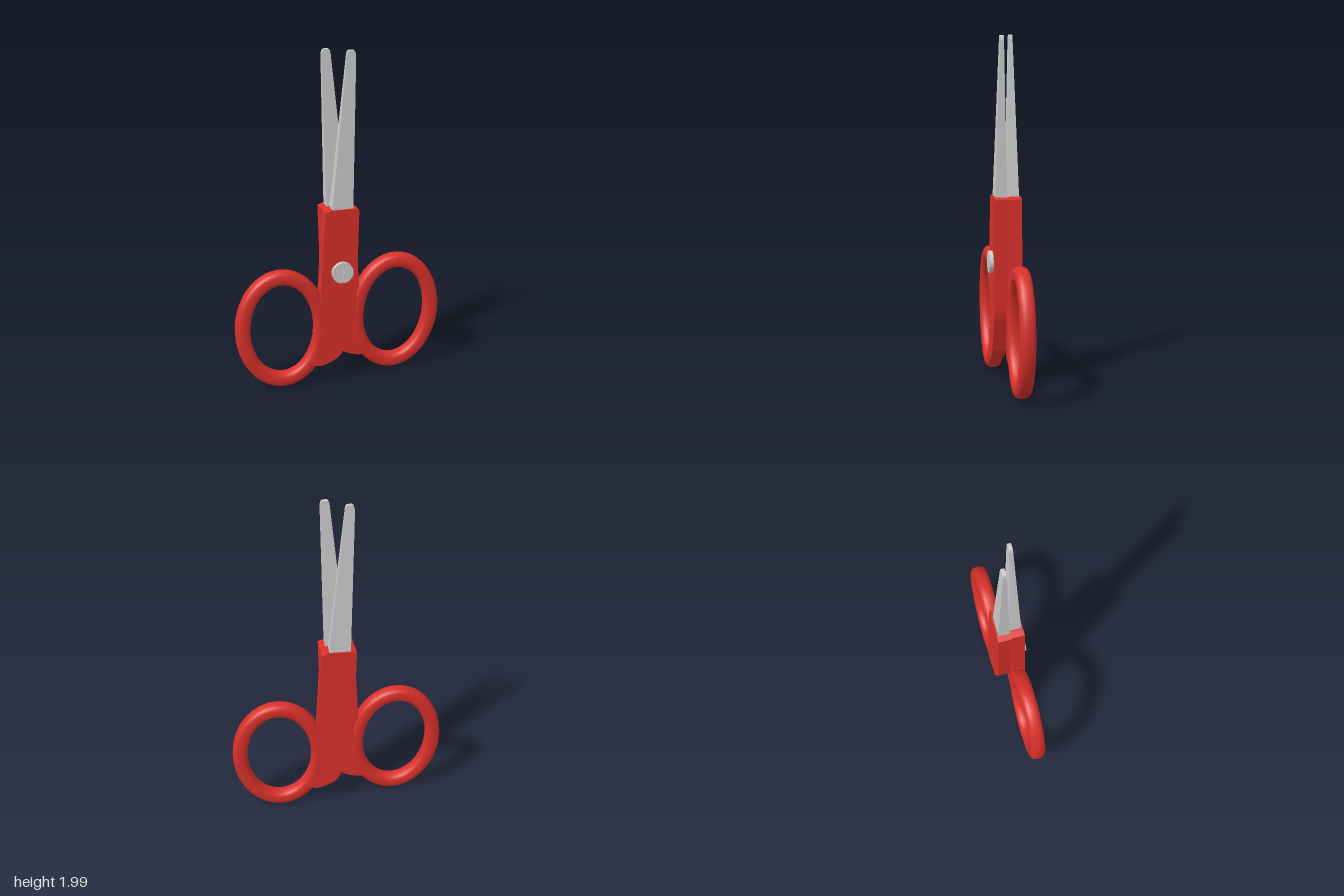
import * as THREE from 'three';
import { mergeVertices } from 'three/addons/utils/BufferGeometryUtils.js';

const red = new THREE.MeshStandardMaterial({ color: 0xd9302a });
const grey = new THREE.MeshStandardMaterial({ color: 0xcccccc });

function part(name, geometry, material) {
  const mesh = new THREE.Mesh(geometry, material);
  mesh.name = name;
  return mesh;
}

// Blade: flat outline with a rounded tip, thinning and drifting outward with height
function bladeGeometry() {
  const s = new THREE.Shape();
  s.moveTo(-0.058, 1.05);
  s.lineTo(0.068, 1.05);
  s.lineTo(0.088, 1.96);
  s.quadraticCurveTo(0.088, 2, 0.07, 2);
  s.lineTo(0.05, 2);
  s.quadraticCurveTo(0.036, 2, 0.034, 1.95);
  const g = new THREE.ExtrudeGeometry(s, { depth: 1, bevelEnabled: false, curveSegments: 5 });
  const p = g.attributes.position;
  for (let i = 0; i < p.count; i++) {
    const t = (p.getY(i) - 1.05) / 0.95;
    const inner = THREE.MathUtils.lerp(-0.011, 0.012, t);
    const outer = THREE.MathUtils.lerp(0.058, 0.032, t);
    p.setZ(i, THREE.MathUtils.lerp(inner, outer, p.getZ(i)));
  }
  g.computeVertexNormals();
  return g;
}

// Shank: flat plate that grips the blade and runs into the finger ring
function shankGeometry() {
  const s = new THREE.Shape();
  s.moveTo(0.063, 1.096);
  s.lineTo(-0.06, 1.096);
  s.lineTo(-0.097, 1.084);
  s.lineTo(-0.123, 0.62);
  s.lineTo(-0.13, 0.54);
  s.lineTo(-0.12, 0.38);
  s.lineTo(-0.155, 0.2);
  s.lineTo(-0.19, 0.135);
  s.lineTo(-0.13, 0.125);
  s.quadraticCurveTo(-0.03, 0.145, 0, 0.195);
  s.lineTo(0.065, 0.37);
  s.quadraticCurveTo(0.082, 0.41, 0.085, 0.46);
  s.lineTo(0.102, 1.084);
  const g = new THREE.ExtrudeGeometry(s, { depth: 0.078, bevelEnabled: false, curveSegments: 6 });
  return g.translate(0, 0, -0.012);
}

// Finger ring: torus reshaped to an ellipse with a rounded-square section
function ringGeometry() {
  const g = new THREE.TorusGeometry(1, 0.2, 16, 48);
  const p = g.attributes.position, uv = g.attributes.uv;
  const soft = (c) => Math.sign(c) * Math.pow(Math.abs(c), 0.75);
  for (let i = 0; i < p.count; i++) {
    const u = uv.getX(i) * Math.PI * 2, v = uv.getY(i) * Math.PI * 2;
    const out = 0.044 * soft(Math.cos(v));
    p.setXYZ(i, (0.232 + out) * Math.cos(u), (0.325 + out) * Math.sin(u), 0.044 * soft(Math.sin(v)));
  }
  g.deleteAttribute('uv');
  g.deleteAttribute('normal');
  const ring = mergeVertices(g, 1e-5);
  ring.computeVertexNormals();
  return ring.rotateZ(0.045).translate(-0.348, 0.38, 0.021);
}

function half(name) {
  const group = new THREE.Group();
  group.name = name;
  group.add(
    part('blade', bladeGeometry(), grey),
    part('shank', shankGeometry(), red),
    part('fingerRing', ringGeometry(), red)
  );
  return group;
}

// Pivot screw: a disc with a slotted head made of two half discs
function screw() {
  const group = new THREE.Group();
  group.name = 'pivotScrew';
  const base = new THREE.CylinderGeometry(0.063, 0.063, 0.03, 32).rotateX(Math.PI / 2);
  group.add(part('screwBase', base.translate(0, 0, 0.062), grey));
  const a = Math.acos(0.005 / 0.063);
  const s = new THREE.Shape().absarc(0, 0, 0.063, -a, a, false);
  for (const side of [0, 1]) {
    const head = new THREE.ExtrudeGeometry(s, { depth: 0.012, bevelEnabled: false, curveSegments: 16 });
    head.rotateZ(side * Math.PI).translate(0, 0, 0.077);
    group.add(part('screwHead', head, grey));
  }
  group.position.y = 0.717;
  return group;
}

export function createModel() {
  const model = new THREE.Group();
  model.name = 'scissors';
  // The back half is the front half turned about the pivot plane
  const back = half('backHalf');
  back.rotation.y = Math.PI;
  back.position.z = -0.023;
  model.add(half('frontHalf'), back, screw());
  return model;
}
